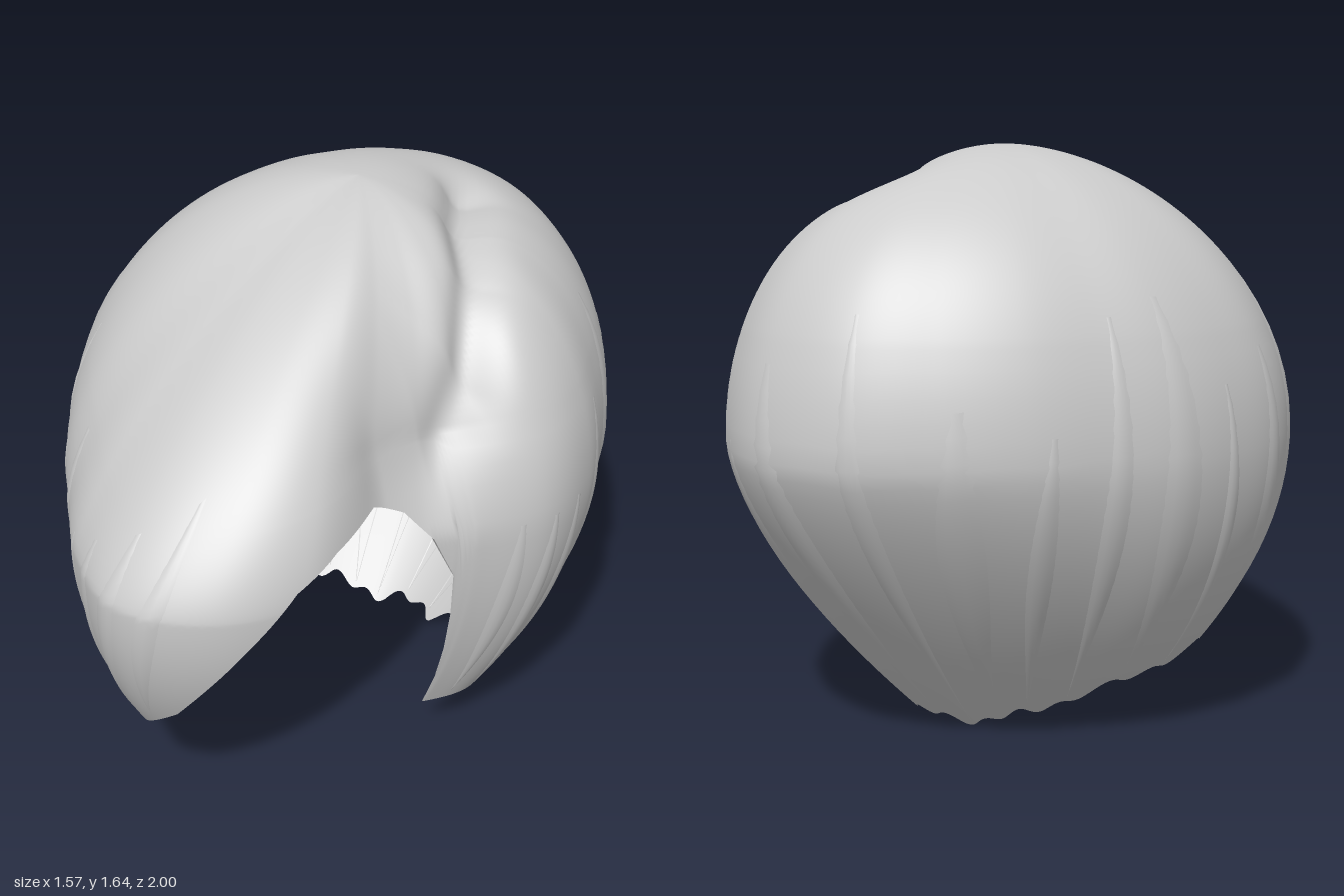
import * as THREE from 'three';
import { mergeVertices } from 'three/addons/utils/BufferGeometryUtils.js';

const RAD = Math.PI / 180;
const EQ = 0.85, CROWN = 0.8; // height of the widest ring, and crown height above it

// plan radius every 15 degrees, from +x towards +z
const PLAN = [0.75, 0.65, 0.59, 0.645, 0.83, 0.96, 1.0, 0.9, 0.8, 0.76, 0.75, 0.77,
  0.79, 0.79, 0.8, 0.81, 0.86, 0.92, 0.99, 1.0, 0.94, 0.87, 0.81, 0.79];

// hem height by azimuth: face opening from 18 to 110 degrees
const HEM = [[0, 0.15], [17, 0.13], [19, 0.4], [21, 0.7], [27, 0.84], [35, 0.94], [45, 1.0], [55, 0.96],
  [62, 0.9], [70, 0.75], [83, 0.48], [94, 0.33], [104, 0.18], [110, 0.1], [125, 0.15], [150, 0.22],
  [180, 0.23], [210, 0.15], [240, 0.06], [270, 0.02], [300, 0.05], [330, 0.13], [360, 0.15]];

// parting groove seen in plan (x, z)
const PART = [[0.24, -0.42], [0.33, -0.25], [0.46, -0.1], [0.56, 0.08], [0.55, 0.25], [0.5, 0.4]];

function planRadius(az) {
  const f = (((az % 360) + 360) % 360) / 15, i = Math.floor(f), t = f - i;
  const p = k => PLAN[(i + k + 24) % 24];
  const [a, b, c, d] = [p(-1), p(0), p(1), p(2)];
  return b + 0.5 * t * (c - a + t * (2 * a - 5 * b + 4 * c - d + t * (3 * (b - c) + d - a)));
}

function hemHeight(az) {
  az = ((az % 360) + 360) % 360;
  const i = Math.max(1, HEM.findIndex(h => h[0] >= az));
  const [a, ya] = HEM[i - 1], [b, yb] = HEM[i];
  const y = ya + (yb - ya) * (az - a) / (b - a);
  // ragged tips away from the face opening
  const ragged = az > 115 ? 0.022 * Math.sin(az * 0.29) * Math.sin(az * 0.11) : 0;
  return Math.max(0.003, y + ragged);
}

function partDistance(x, z) {
  let best = 9;
  for (let i = 1; i < PART.length; i++) {
    const [ax, az] = PART[i - 1], dx = PART[i][0] - ax, dz = PART[i][1] - az;
    const t = THREE.MathUtils.clamp(((x - ax) * dx + (z - az) * dz) / (dx * dx + dz * dz), 0, 1);
    best = Math.min(best, Math.hypot(x - ax - dx * t, z - az - dz * t));
  }
  return best;
}

const bell = (x, width) => Math.exp(-((x / width) ** 2));
const turn = (az, from) => ((az - from + 540) % 360) - 180;

// crown roundness: sloping over the fringe, fuller elsewhere
const roundness = az => 2.0 - 0.62 * Math.max(0, Math.sin(az * RAD)) ** 3;

// angle down the meridian at which the hem is reached
function hemAngle(az) {
  const y = hemHeight(az);
  if (y > EQ) return Math.acos(((y - EQ) / CROWN) ** (roundness(az) / 2));
  return Math.PI / 2 * (1 + (EQ - y) / EQ);
}

// point on the hair shell: azimuth in degrees, angle down from the crown
function shell(az, th, lift = 0) {
  const n = roundness(az), R = planRadius(az);
  let u, y;
  if (th < Math.PI / 2) {
    u = Math.sin(th) ** (2 / n);
    y = EQ + CROWN * Math.max(0, Math.cos(th)) ** (2 / n);
  } else {
    // taper below the widest ring: conical at the nape, fuller beside the face
    const d = th / (Math.PI / 2) - 1;
    const nape = Math.max(0, -Math.sin(az * RAD)) ** 2;
    const taper = 0.58 + 0.06 * nape - 0.18 * bell(turn(az, 12), 28) - 0.2 * bell(turn(az, 108), 30);
    u = 1 - taper * d ** (2 - 0.65 * nape);
    y = EQ * (1 - d);
  }
  const p = new THREE.Vector3(R * u * Math.cos(az * RAD), y, R * u * Math.sin(az * RAD));
  if (y > EQ) {
    // crown sits behind the middle
    p.x += 0.03 * (1 - u * u);
    p.z -= 0.13 * (1 - u * u);
    const dist = partDistance(p.x, p.z);
    lift -= (0.06 * bell(dist, 0.07) + 0.045 * bell(dist, 0.2)) * Math.min(1, (y - EQ) / 0.3);
  }
  const out = p.clone().sub(new THREE.Vector3(0, 0.8, 0)).normalize();
  return p.addScaledVector(out, lift);
}

// surface from a grid of points
function gridGeometry(cols, rows, point) {
  const pos = [], idx = [];
  for (let i = 0; i <= cols; i++) for (let j = 0; j <= rows; j++) pos.push(...point(i, j).toArray());
  for (let i = 0; i < cols; i++) for (let j = 0; j < rows; j++) {
    const a = i * (rows + 1) + j, b = a + rows + 1;
    idx.push(a, b, a + 1, b, b + 1, a + 1);
  }
  let g = new THREE.BufferGeometry();
  g.setAttribute('position', new THREE.Float32BufferAttribute(pos, 3));
  g.setIndex(idx);
  g = mergeVertices(g, 1e-5);
  g.computeVertexNormals();
  return g;
}

export function createModel() {
  const model = new THREE.Group();
  const hair = new THREE.MeshStandardMaterial({ color: 0xcccccc, side: THREE.DoubleSide });
  hair.name = 'hairGrey';
  const add = (name, geometry, parent = model) => {
    const mesh = new THREE.Mesh(geometry, hair);
    mesh.name = name;
    parent.add(mesh);
  };

  // main shell: even rows over the crown, then rows fitted down to the hem
  const COLS = 360, TOP = 36, LOW = 24, SPLIT = 68 * RAD;
  add('hairShell', gridGeometry(COLS, TOP + LOW, (i, j) => {
    const az = i % COLS;
    const th = j <= TOP ? SPLIT * j / TOP : SPLIT + (hemAngle(az) - SPLIT) * (j - TOP) / LOW;
    return shell(az, th);
  }));

  // inward-turned lip around the face opening
  add('faceEdge', gridGeometry(92, 2, (i, j) => {
    const az = 18 + i, p = shell(az, hemAngle(az));
    const s = Math.sin(Math.PI * i / 92) * 0.025 * j;
    return p.add(new THREE.Vector3(-p.x, 0, -p.z).normalize().multiplyScalar(s));
  }));

  // thin tapered locks lying on the shell
  const locks = new THREE.Group();
  locks.name = 'locks';
  model.add(locks);
  const addLock = (az, width, start, end, sweep) => add('lock', gridGeometry(4, 20, (i, j) => {
    const t = j / 20, side = i / 2 - 1;
    const a = az + sweep * (t - 0.5) + side * width * Math.sin(Math.PI * (0.08 + 0.9 * t)) / 2;
    const th = hemAngle(a) * (start + (end - start) * t);
    return shell(a, th, 0.007 * (1 - side * side) * Math.sin(Math.PI * (0.1 + 0.85 * t)) - 0.001);
  }), locks);
  for (let k = 0; k < 16; k++) {
    addLock(122 + k * 14.5, 7 + 3 * Math.sin(k * 2.3), 0.42 + 0.08 * Math.sin(k * 1.7), 0.99, 5 * Math.sin(k));
  }
  for (let k = 0; k < 4; k++) addLock(85 + k * 9, 5, 0.5, 0.97, 8);
  for (let k = 0; k < 3; k++) addLock(-8 + k * 8, 5, 0.55, 0.98, 3);

  return model;
}
